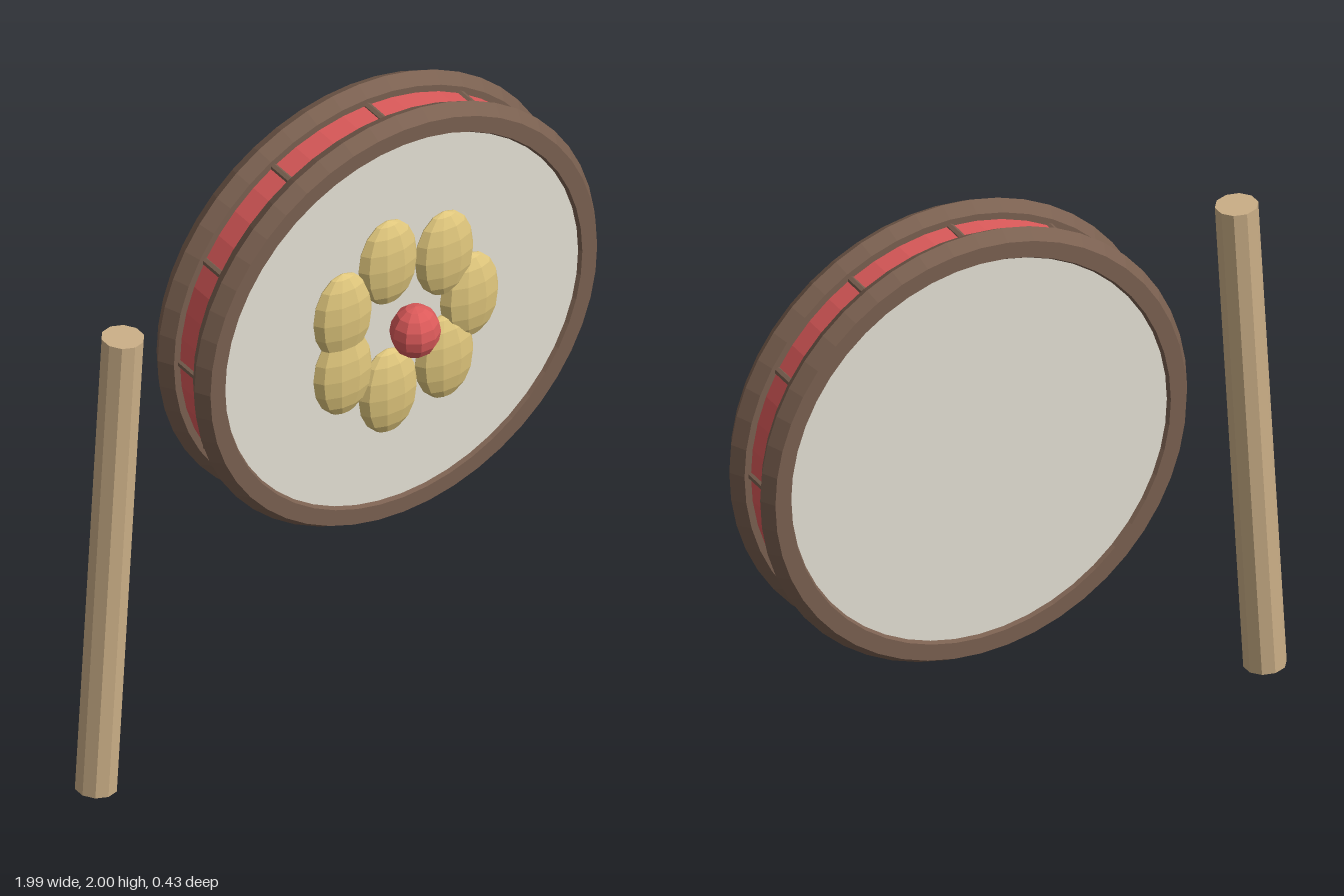
import * as THREE from 'three';

const paint = (color) => new THREE.MeshStandardMaterial({ color, flatShading: true });

function add(parent, name, geometry, material, x = 0, y = 0, z = 0) {
  const mesh = new THREE.Mesh(geometry, material);
  mesh.name = name;
  mesh.position.set(x, y, z);
  parent.add(mesh);
  return mesh;
}

export function createModel() {
  const model = new THREE.Group();
  model.name = 'handDrumAndStick';
  const brown = paint(0x7a6050);
  const red = paint(0xdc5a5a);
  const skin = paint(0xe6e2d6);
  const gold = paint(0xdfc67c);
  const wood = paint(0xcbaf87);

  // Drum, with its axis along z
  const drum = new THREE.Group();
  drum.name = 'drum';
  drum.position.set(0.25, 1.257, -0.07);
  model.add(drum);

  const shell = new THREE.CylinderGeometry(0.695, 0.695, 0.2, 48, 1, true).rotateX(Math.PI / 2);
  add(drum, 'shell', shell, red);

  // Rim and drumhead on both faces
  const rim = new THREE.TorusGeometry(0.69, 0.055, 6, 48);
  const head = new THREE.CylinderGeometry(0.67, 0.67, 0.02, 48).rotateX(Math.PI / 2);
  for (const side of [1, -1]) {
    const label = side > 0 ? 'front' : 'back';
    add(drum, label + 'Rim', rim, brown, 0, 0, side * 0.1);
    add(drum, label + 'Drumhead', head, skin, 0, 0, side * 0.125);
  }

  // Tension rods around the shell
  const rod = new THREE.CylinderGeometry(0.013, 0.013, 0.2, 6).rotateX(Math.PI / 2);
  for (let i = 0; i < 12; i++) {
    const a = (i * Math.PI) / 6;
    add(drum, 'tensionRod', rod, brown, 0.692 * Math.cos(a), 0.692 * Math.sin(a), 0);
  }

  // Flower: seven upright petals around a bead
  const ball = new THREE.SphereGeometry(1, 10, 8);
  for (let i = 0; i < 7; i++) {
    const a = (i * 2 * Math.PI) / 7;
    add(drum, 'petal', ball, gold, 0.247 * Math.cos(a), 0.247 * Math.sin(a), 0.14)
      .scale.set(0.108, 0.154, 0.05);
  }
  add(drum, 'flowerCentre', ball, red, 0, 0, 0.21).scale.set(0.081, 0.09, 0.077);

  // Leaning stick beside the drum
  const stick = new THREE.CylinderGeometry(0.068, 0.068, 1.655, 10);
  add(model, 'stick', stick, wood, -0.88, 0.832, 0.133).rotation.z = -0.06;

  return model;
}
